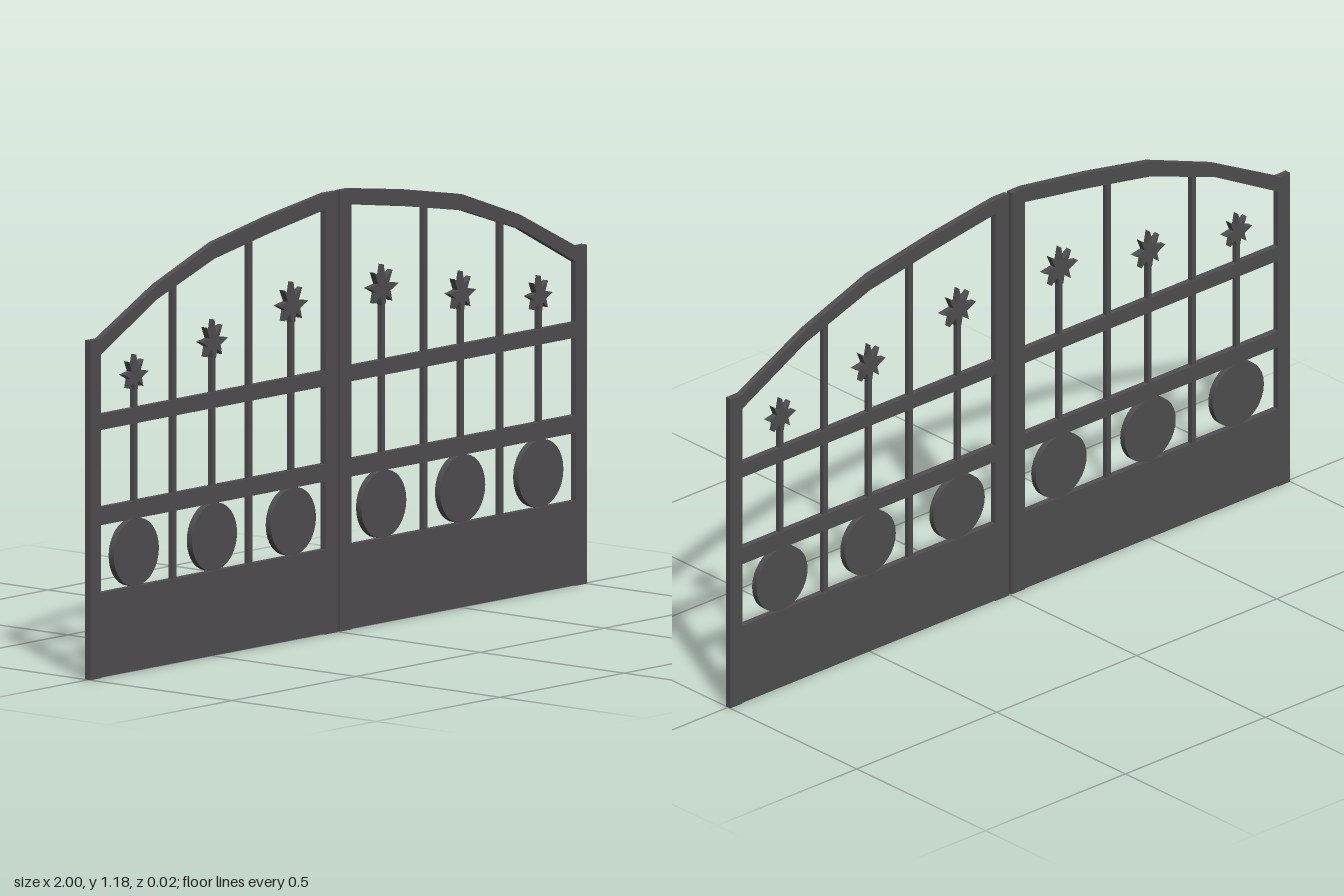
import * as THREE from 'three';

const DEPTH = 0.018;
const iron = new THREE.MeshStandardMaterial({ color: 0x504e50 });
iron.name = 'dark iron';

function add(group, name, geometry, x = 0, y = 0) {
  const mesh = new THREE.Mesh(geometry, iron);
  mesh.name = name;
  mesh.position.set(x, y, 0);
  group.add(mesh);
  return mesh;
}

// Upright box given by its extents; side (+1 / -1) mirrors it in x
function bar(group, name, side, x0, x1, y0, y1, depth = DEPTH) {
  add(group, name, new THREE.BoxGeometry(x1 - x0, y1 - y0, depth), side * (x0 + x1) / 2, (y0 + y1) / 2);
}

// Flat plate cut from an outline and centred in z
function plate(points, depth = DEPTH) {
  const shape = new THREE.Shape(points.map(([x, y]) => new THREE.Vector2(x, y)));
  return new THREE.ExtrudeGeometry(shape, { depth, bevelEnabled: false }).translate(0, 0, -depth / 2);
}

// Top rail of one leaf: x, upper edge, lower edge
const ARCH = [
  [0.05, 1.176, 1.134], [0.275, 1.144, 1.1], [0.5, 1.103, 1.06],
  [0.73, 1.02, 0.982], [0.96, 0.905, 0.862],
];

// Right half of the spiky leaf finial, from the tip down to the stem
const LEAF = [
  [0, 1], [0.13, 0.66], [0.6, 0.83], [0.36, 0.53], [1, 0.47],
  [0.46, 0.32], [0.58, 0.06], [0.2, 0.22], [0.12, 0],
];

// Finial columns: x, base of leaf, tip of leaf, half width of leaf
const COLUMNS = [[0.182, 0.85, 0.957, 0.06], [0.5, 0.795, 0.898, 0.054], [0.815, 0.752, 0.845, 0.049]];

function gateLeaf(side) {
  const leaf = new THREE.Group();
  leaf.name = side > 0 ? 'leftGateLeaf' : 'rightGateLeaf';

  // Frame
  bar(leaf, 'innerStile', side, 0.005, 0.053, 0, 1.176);
  bar(leaf, 'outerStile', side, 0.957, 1, 0, 0.905);
  bar(leaf, 'bottomPanel', side, 0.053, 0.957, 0.002, 0.227);
  bar(leaf, 'lowerRail', side, 0.053, 0.957, 0.408, 0.455);
  bar(leaf, 'upperRail', side, 0.053, 0.957, 0.662, 0.703);
  const outline = [
    ...ARCH.map(([x, top]) => [side * x, top]),
    ...[...ARCH].reverse().map(([x, , low]) => [side * x, low]),
  ];
  add(leaf, 'archedTopRail', plate(outline));

  // Full-height thin bars
  for (const [x, top] of [[0.353, 1.1], [0.658, 1.02]]) {
    bar(leaf, 'thinBar', side, x - 0.008, x + 0.008, 0.227, top, 0.014);
  }

  // Discs, short stems and leaf finials
  for (const [x, base, tip, half] of COLUMNS) {
    const disc = new THREE.CylinderGeometry(0.091, 0.091, DEPTH, 32).rotateX(Math.PI / 2);
    add(leaf, 'disc', disc, side * x, 0.318);
    bar(leaf, 'stem', side, x - 0.007, x + 0.007, 0.455, base + 0.02, 0.014);
    const rightHalf = LEAF.map(([u, v]) => [u * half, v * (tip - base)]);
    const leftHalf = rightHalf.slice(1).reverse().map(([u, v]) => [-u, v]);
    add(leaf, 'leafFinial', plate([...rightHalf, ...leftHalf]), side * x, base);
  }
  return leaf;
}

export function createModel() {
  const gate = new THREE.Group();
  gate.name = 'doubleGate';
  gate.add(gateLeaf(1), gateLeaf(-1));
  return gate;
}
